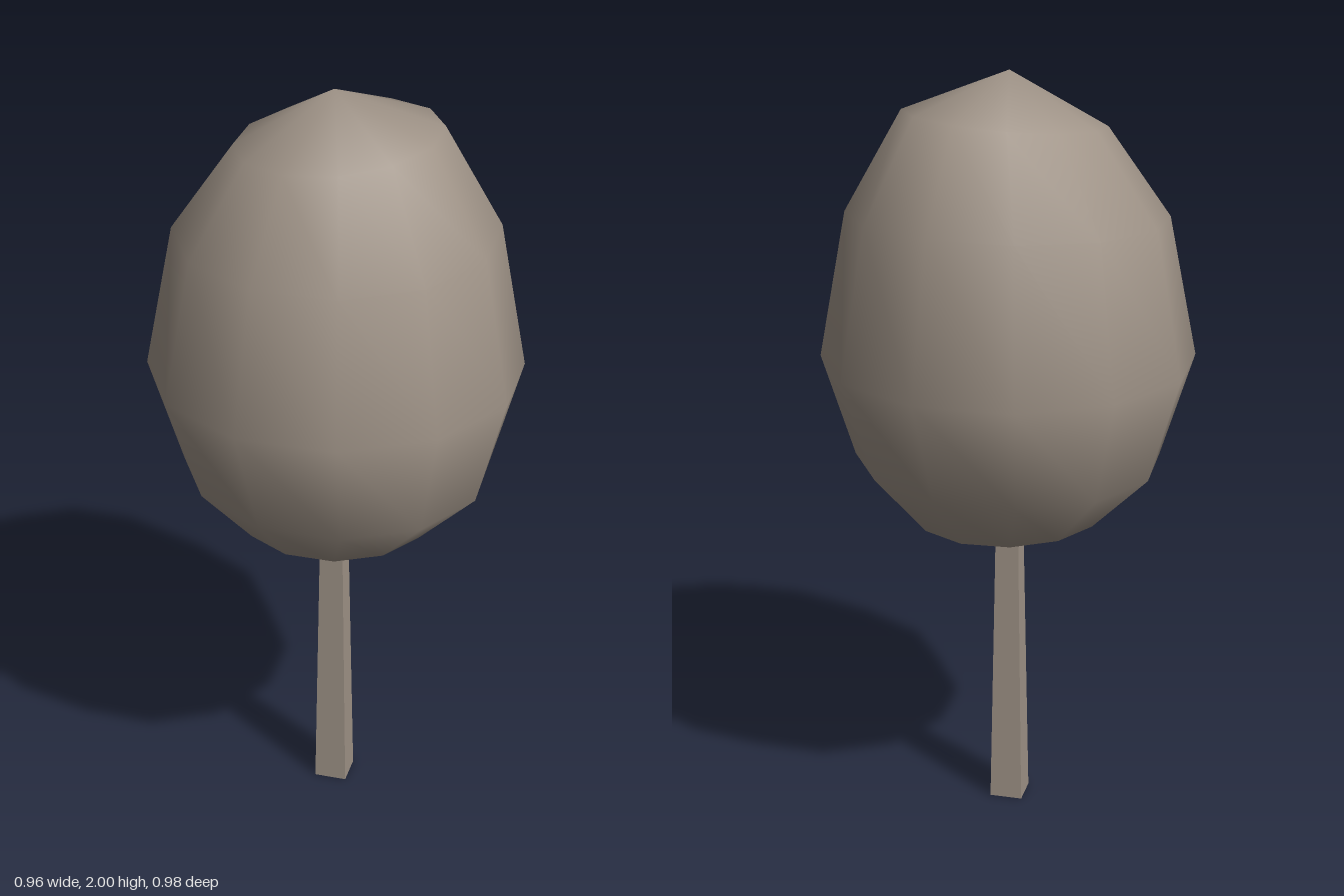
import * as THREE from 'three';
import { mergeVertices } from 'three/addons/utils/BufferGeometryUtils.js';

// Crown rings, top to bottom: height, x radius, z radius, x centre, z centre, tilt along x, tilt along z
const RINGS = [
  [2.0, 0, 0, -0.01, 0.015, 0, 0],
  [1.883, 0.258, 0.253, 0.002, 0.016, 0.025, 0.002],
  [1.645, 0.405, 0.42, 0.004, 0, 0.015, -0.012],
  [1.275, 0.48, 0.488, 0, 0.004, 0, 0],
  [1.0, 0.392, 0.417, -0.005, 0.016, 0, 0],
  [0.837, 0.25, 0.245, -0.008, 0.016, -0.005, 0],
  [0.767, 0, 0, -0.01, 0.015, 0, 0],
];
const SIDES = 12;

// Low sphere whose rings are reshaped into an egg, welded for smooth shading
function crownGeometry() {
  const sphere = new THREE.SphereGeometry(1, SIDES, RINGS.length - 1);
  const pos = sphere.attributes.position;
  for (let i = 0; i < pos.count; i++) {
    const [y, rx, rz, cx, cz, tx, tz] = RINGS[Math.floor(i / (SIDES + 1))];
    const a = ((i % (SIDES + 1)) % SIDES) / SIDES * Math.PI * 2;
    const c = -Math.cos(a), s = Math.sin(a);
    pos.setXYZ(i, cx + rx * c, y + tx * c + tz * s, cz + rz * s);
  }
  sphere.deleteAttribute('normal');
  sphere.deleteAttribute('uv');
  const welded = mergeVertices(sphere, 1e-4);
  welded.computeVertexNormals();
  return welded;
}

export function createModel() {
  const model = new THREE.Group();
  model.name = 'tree';
  const bark = new THREE.MeshStandardMaterial({ color: 0xa09488 });
  bark.name = 'warm grey';

  const crown = new THREE.Mesh(crownGeometry(), bark);
  crown.name = 'crown';

  // Square tapered trunk with its corners on the axes
  const height = 0.8;
  const trunkGeometry = new THREE.CylinderGeometry(0.043, 0.062, height, 4).toNonIndexed();
  trunkGeometry.computeVertexNormals();
  const trunk = new THREE.Mesh(trunkGeometry, bark);
  trunk.name = 'trunk';
  trunk.position.set(-0.011, height / 2, 0.015);

  model.add(crown, trunk);
  return model;
}
